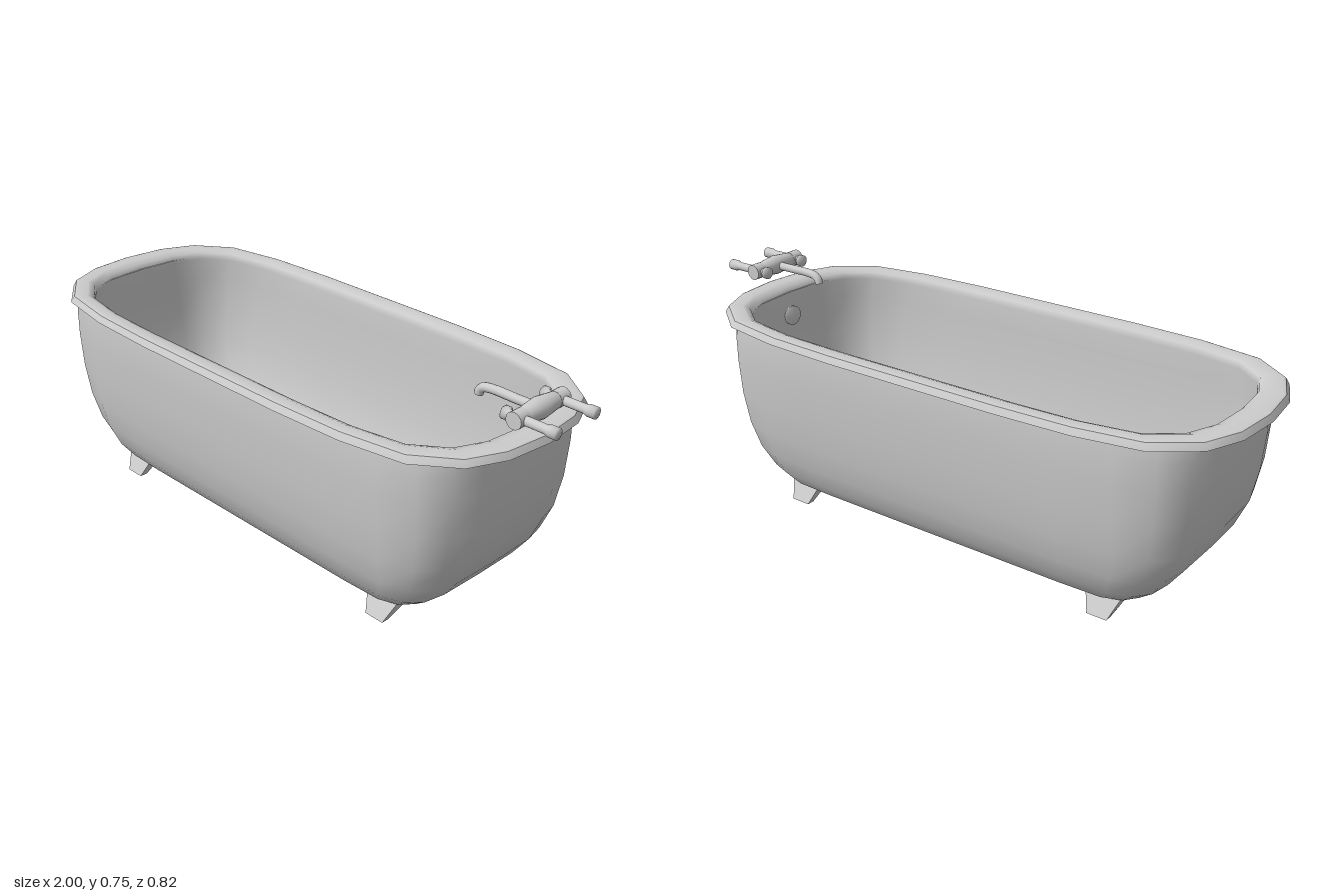
import * as THREE from 'three';

const material = new THREE.MeshStandardMaterial({ color: 0xcccccc, side: THREE.DoubleSide });
const CX = -0.04; // tub centre along x

// Unit outlines, one quarter each: the faceted oval of the rim and a rounded rectangle
const oval = [[1, 0], [0.984, 0.37], [0.93, 0.66], [0.8, 0.89], [0.58, 0.976], [0.32, 1], [0, 1]];
const square = [[1, 0], [1, 0.55], [0.99, 0.76], [0.955, 0.9], [0.885, 0.985], [0.7, 1], [0, 1]];

// Closed ring blended between the two outlines and mirrored into all quarters
function ring(squareness) {
  const quarter = oval.map(([x, z], i) => [
    THREE.MathUtils.lerp(x, square[i][0], squareness),
    THREE.MathUtils.lerp(z, square[i][1], squareness),
  ]);
  const forward = quarter.slice(0, 6), backward = quarter.slice(1).reverse();
  return [
    ...forward,
    ...backward.map(([x, z]) => [-x, z]),
    ...forward.map(([x, z]) => [-x, -z]),
    ...backward.map(([x, z]) => [x, -z]),
  ];
}

// Skin over a stack of rings; each level is [half length, half width, y, squareness]
function loft(levels) {
  const n = 24, positions = [], index = [];
  for (const [a, b, y, s = 0] of levels) for (const [x, z] of ring(s)) positions.push(CX + x * a, y, z * b);
  for (let i = 0; i < levels.length - 1; i++) {
    for (let j = 0; j < n; j++) {
      const a = i * n + j, b = i * n + (j + 1) % n;
      index.push(a, a + n, b, b, a + n, b + n);
    }
  }
  const g = new THREE.BufferGeometry();
  g.setAttribute('position', new THREE.Float32BufferAttribute(positions, 3));
  g.setIndex(index);
  g.computeVertexNormals();
  return g;
}

function add(parent, name, geometry, x = 0, y = 0, z = 0) {
  const mesh = new THREE.Mesh(geometry, material);
  mesh.name = name;
  mesh.position.set(x, y, z);
  parent.add(mesh);
}

// Turned part from [radius, distance] pairs, lying along x
const turnedX = (pts, sides = 16) =>
  new THREE.LatheGeometry(pts.map(([r, d]) => new THREE.Vector2(r, d)), sides).rotateZ(-Math.PI / 2);

// Tapered foot, splayed outwards in z by side (+1 or -1)
function footGeometry(side) {
  const g = new THREE.BoxGeometry(1, 1, 1);
  const p = g.attributes.position;
  for (let i = 0; i < p.count; i++) {
    const top = p.getY(i) > 0;
    const outer = p.getZ(i) * side > 0;
    const z = top ? (outer ? 0.244 : 0.216) : (outer ? 0.277 : 0.25);
    p.setXYZ(i, p.getX(i) * (top ? 0.118 : 0.068), top ? (outer ? 0.062 : 0.05) : 0, z * side);
  }
  g.computeVertexNormals();
  return g;
}

export function createModel() {
  const model = new THREE.Group();
  model.name = 'bathtub';

  // Tub shell
  const tub = new THREE.Group();
  tub.name = 'tub';
  model.add(tub);
  add(tub, 'outerShell', loft([
    [0, 0, 0.045, 0.9], [0.6, 0.22, 0.045, 0.9], [0.66, 0.25, 0.05, 0.9], [0.705, 0.272, 0.066, 0.88],
    [0.76, 0.303, 0.11, 0.82], [0.812, 0.33, 0.18, 0.74], [0.852, 0.349, 0.27, 0.66], [0.875, 0.362, 0.38, 0.6],
    [0.885, 0.369, 0.5, 0.56], [0.885, 0.37, 0.58, 0.55], [0.883, 0.366, 0.632, 0.52],
  ]));
  add(tub, 'rimUnderside', loft([[0.855, 0.343, 0.631, 0.3], [0.96, 0.409, 0.631]]));
  add(tub, 'rimEdge', loft([[0.96, 0.409, 0.631], [0.949, 0.398, 0.652]]));
  add(tub, 'rimAndBasin', loft([
    [0.949, 0.398, 0.652], [0.94, 0.391, 0.655], [0.9, 0.362, 0.655, 0.05], [0.868, 0.343, 0.648, 0.15],
    [0.858, 0.336, 0.625, 0.25], [0.855, 0.336, 0.55, 0.4], [0.848, 0.332, 0.42, 0.5], [0.828, 0.321, 0.3, 0.58],
    [0.792, 0.304, 0.2, 0.66], [0.742, 0.278, 0.125, 0.74], [0.68, 0.245, 0.085, 0.8],
    [0.59, 0.205, 0.072, 0.8], [0, 0, 0.07, 0.8],
  ]));

  // Drain and overflow
  add(tub, 'drain', new THREE.CylinderGeometry(0.033, 0.033, 0.016, 20), 0.515, 0.078, 0);
  add(tub, 'overflow', turnedX([[0, -0.008], [0.034, -0.008], [0.034, 0.006], [0, 0.006]], 20), 0.81, 0.546, 0);

  // Four feet
  const feet = new THREE.Group();
  feet.name = 'feet';
  model.add(feet);
  for (const sx of [-1, 1]) for (const sz of [-1, 1]) add(feet, 'foot', footGeometry(sz), CX + sx * 0.593);

  // Mixer tap
  const tap = new THREE.Group();
  tap.name = 'tap';
  tap.position.set(0.875, 0.721, 0);
  model.add(tap);
  const barrel = [[0.02, -0.08], [0.025, -0.068], [0.029, -0.035], [0.033, 0], [0.029, 0.035], [0.025, 0.068], [0.02, 0.08]];
  add(tap, 'tapBody', new THREE.LatheGeometry(barrel.map(([r, d]) => new THREE.Vector2(r, d)), 20).rotateX(Math.PI / 2));

  const path = new THREE.CatmullRomCurve3([
    [-0.01, 0, 0], [-0.08, 0, 0], [-0.16, 0, 0], [-0.188, -0.005, 0], [-0.201, -0.016, 0], [-0.205, -0.029, 0],
  ].map((p) => new THREE.Vector3(...p)));
  add(tap, 'spout', new THREE.TubeGeometry(path, 24, 0.014, 12));

  for (const s of [-1, 1]) {
    add(tap, 'collar', new THREE.CylinderGeometry(0.026, 0.026, 0.042, 16).rotateX(Math.PI / 2), 0, 0, s * 0.089);
    add(tap, 'supplyPipe', turnedX([[0.014, 0], [0.014, 0.09], [0.018, 0.1], [0.018, 0.125], [0, 0.125]]), 0, 0, s * 0.085);
    add(tap, 'knob', turnedX([[0, -0.05], [0.02, -0.05], [0.02, -0.036], [0.013, -0.034], [0.013, 0]]), 0, 0, s * 0.085);
  }
  return model;
}
